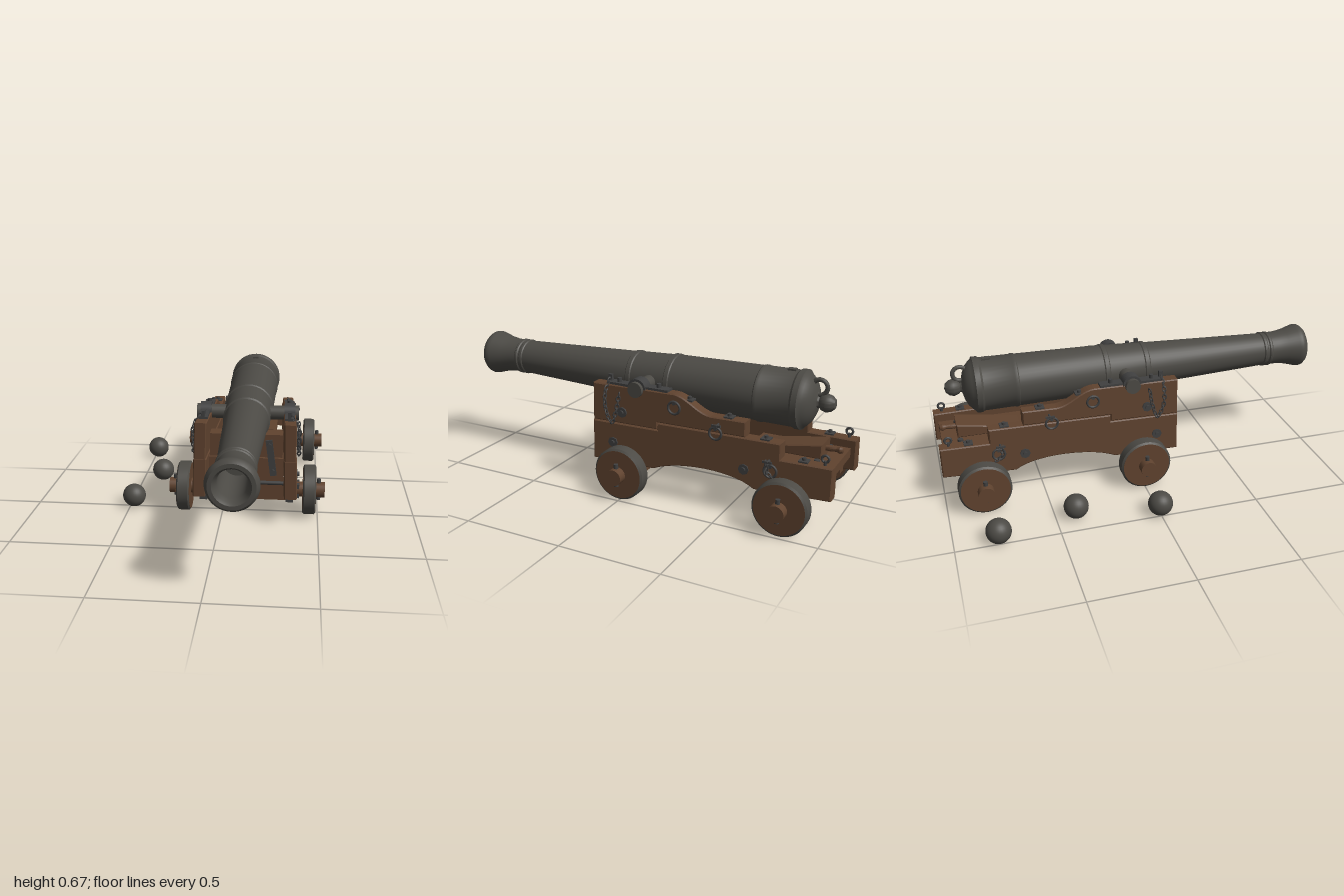
import * as THREE from 'three';
import { toCreasedNormals } from 'three/addons/utils/BufferGeometryUtils.js';

const material = (name, color) => Object.assign(new THREE.MeshStandardMaterial({ color }), { name });
const wood = material('oak', 0x60432f);
const iron = material('castIron', 0x4c4a45);
const dark = material('forgedIron', 0x404040);

function add(parent, name, geometry, mat, x = 0, y = 0, z = 0) {
  const mesh = new THREE.Mesh(geometry, mat);
  mesh.name = name;
  mesh.position.set(x, y, z);
  parent.add(mesh);
  return mesh;
}
const box = (x, y, z) => new THREE.BoxGeometry(x, y, z);
const rodX = (r, length, sides = 20) => new THREE.CylinderGeometry(r, r, length, sides).rotateZ(Math.PI / 2);
const rodY = (r, length, sides = 10) => new THREE.CylinderGeometry(r, r, length, sides);
const lathe = (points, sides) => toCreasedNormals(
  new THREE.LatheGeometry(points.map(([r, h]) => new THREE.Vector2(r, h)), sides), 0.6);

// Distance of a cheek's middle plane from the centre line: it leans in and narrows to the rear
const cheekX = (z, y) => 0.225 + 0.032 * z - 0.025 * (y - 0.15);
const outerX = (z, y) => cheekX(z, y) + 0.033;

// A side profile drawn in (z, y), extruded to a thickness across x
function profile(shape, thickness, bevel = 0.005) {
  const depth = thickness - 2 * bevel;
  return new THREE.ExtrudeGeometry(shape, {
    depth, bevelEnabled: bevel > 0, bevelSize: bevel, bevelThickness: bevel,
    bevelOffset: -bevel, bevelSegments: 1, curveSegments: 14,
  }).translate(0, 0, -depth / 2).rotateY(-Math.PI / 2);
}

function cheekPlank(shape, thickness, side) {
  const geometry = profile(shape, thickness);
  const p = geometry.attributes.position;
  for (let i = 0; i < p.count; i++) p.setX(i, p.getX(i) + side * cheekX(p.getZ(i), p.getY(i)));
  geometry.computeVertexNormals();
  return geometry;
}

function shapeFrom(points) {
  return new THREE.Shape(points.map(([z, y]) => new THREE.Vector2(z, y)));
}

function makeChain(points) {
  const chain = new THREE.Group();
  chain.name = 'chain';
  const curve = new THREE.CatmullRomCurve3(points.map((p) => new THREE.Vector3(...p)));
  const link = new THREE.TorusGeometry(0.009, 0.0032, 6, 12).scale(1.5, 1, 1);
  const count = Math.round(curve.getLength() / 0.021);
  for (let i = 0; i <= count; i++) {
    const mesh = add(chain, 'chainLink', link, dark);
    mesh.position.copy(curve.getPointAt(i / count));
    mesh.quaternion.setFromUnitVectors(new THREE.Vector3(1, 0, 0), curve.getTangentAt(i / count));
    mesh.rotateX((i % 2) * Math.PI / 2 + 0.4);
  }
  return chain;
}

function makeBarrel() {
  const barrel = new THREE.Group();
  barrel.name = 'barrel';
  // Cascabel knob, breech, reinforce rings, chase, muzzle swell and bore
  const outline = [
    [0, -0.935], [0.022, -0.93], [0.038, -0.912], [0.043, -0.89], [0.036, -0.868], [0.026, -0.858],
    [0.03, -0.85], [0.07, -0.84], [0.1, -0.825], [0.122, -0.805], [0.13, -0.795], [0.141, -0.788],
    [0.141, -0.762], [0.134, -0.752], [0.133, -0.6], [0.136, -0.595], [0.136, -0.58], [0.132, -0.575],
    [0.125, -0.14], [0.129, -0.135], [0.129, -0.115], [0.123, -0.11], [0.115, 0.075], [0.119, 0.08],
    [0.119, 0.1], [0.112, 0.106], [0.087, 0.755], [0.092, 0.76], [0.092, 0.772], [0.087, 0.778],
    [0.087, 0.785], [0.092, 0.79], [0.092, 0.8], [0.087, 0.806], [0.088, 0.85], [0.096, 0.9],
    [0.112, 0.955], [0.115, 0.97], [0.112, 0.985], [0.1, 1], [0.082, 1], [0.072, 0.985], [0.065, 0.95],
    [0.065, 0.7], [0, 0.7],
  ];
  add(barrel, 'gunTube', lathe(outline, 40).rotateX(Math.PI / 2), iron);
  add(barrel, 'trunnions', rodX(0.036, 0.47, 24), iron, 0, 0.005, -0.035);
  add(barrel, 'breechingLoop', new THREE.TorusGeometry(0.036, 0.011, 8, 20).rotateY(Math.PI / 2), iron, 0, 0.07, -0.853);
  add(barrel, 'ventPatch', box(0.03, 0.012, 0.04), iron, 0, 0.135, -0.72);
  barrel.position.y = 0.53;
  return barrel;
}

// Wheels, linchpins and beam for one axle
function makeAxle(z) {
  const axle = new THREE.Group();
  axle.name = 'axle';
  add(axle, 'axleBeam', box(0.47, 0.09, 0.1), wood);
  add(axle, 'axleArms', rodX(0.04, 0.814, 24), wood);
  const tyre = lathe([[0.12, -0.034], [0.13, -0.026], [0.13, 0.026], [0.12, 0.034]], 40).rotateZ(Math.PI / 2);
  for (const s of [-1, 1]) {
    add(axle, 'wheel', rodX(0.1205, 0.068, 40), wood, s * 0.327);
    add(axle, 'wheelTyre', tyre, iron, s * 0.327);
    add(axle, 'linchpin', rodY(0.011, 0.115), dark, s * 0.376, 0.003);
    add(axle, 'axleStrap', box(0.04, 0.07, 0.11), dark, s * 0.225, -0.02);
    add(axle, 'axleCollar', box(0.025, 0.075, 0.075), dark, s * 0.262);
  }
  axle.position.set(0, 0.132, z);
  return axle;
}

function makeCheek(s) {
  const cheek = new THREE.Group();
  cheek.name = s > 0 ? 'leftCheek' : 'rightCheek';
  const lower = shapeFrom([[0.2, 0.15], [0.2, 0.35], [-0.15, 0.35], [-0.15, 0.385], [-0.76, 0.385],
    [-0.76, 0.31], [-1, 0.31], [-1, 0.155], [-0.64, 0.145]]);
  lower.bezierCurveTo(-0.54, 0.215, -0.26, 0.215, -0.13, 0.15);
  const upper = shapeFrom([[0.2, 0.352], [0.2, 0.54], [-0.23, 0.54]]);
  upper.bezierCurveTo(-0.3, 0.535, -0.35, 0.465, -0.42, 0.46);
  for (const [z, y] of [[-0.59, 0.46], [-0.59, 0.387], [-0.148, 0.387], [-0.148, 0.352]]) upper.lineTo(z, y);
  add(cheek, 'lowerPlank', cheekPlank(lower, 0.066, s), wood);
  add(cheek, 'upperPlank', cheekPlank(upper, 0.061, s), wood);

  // Cap square arched over the trunnion, with bolted flanges
  const cap = new THREE.Shape();
  cap.moveTo(0.048, 0);
  cap.absarc(0, 0, 0.048, 0, Math.PI, false);
  cap.lineTo(-0.036, 0);
  cap.absarc(0, 0, 0.036, Math.PI, 0, true);
  const topX = s * cheekX(0, 0.54);
  add(cheek, 'capSquare', profile(cap, 0.056, 0), dark, topX, 0.537, -0.035);
  for (const z of [0.07, -0.14]) {
    add(cheek, 'capFlange', box(0.05, 0.012, 0.115), dark, s * cheekX(z, 0.54), 0.545, z);
    add(cheek, 'capBolt', rodY(0.011, 0.03), dark, s * cheekX(z, 0.54), 0.556, z);
  }
  add(cheek, 'capKey', box(0.016, 0.045, 0.02), dark, topX, 0.56, 0.12);
  add(cheek, 'trunnionBoss', rodX(0.038, 0.02, 24), iron, s * 0.252, 0.535, -0.035);

  // Washers and bolt heads along the outside
  for (const [z, y] of [[0.09, 0.25], [-0.59, 0.235], [0.04, 0.41]]) {
    add(cheek, 'rosette', rodX(0.026, 0.01, 8), dark, s * outerX(z, y), y, z);
    add(cheek, 'boltHead', rodX(0.012, 0.028, 8), dark, s * outerX(z, y), y, z);
  }
  // Eyebolts with hanging rings
  for (const [z, y] of [[-0.45, 0.41], [-0.72, 0.275], [-0.24, 0.5]]) {
    add(cheek, 'eyebolt', rodX(0.009, 0.03, 8), dark, s * outerX(z, y), y, z);
    add(cheek, 'hangingRing', new THREE.TorusGeometry(0.03, 0.006, 8, 20).rotateY(Math.PI / 2), dark,
      s * (outerX(z, y) + 0.01), y - 0.022, z);
  }
  // Bolts standing on the stepped top edges
  for (const [z, y] of [[-0.3, 0.512], [-0.5, 0.46], [-0.68, 0.385], [-0.86, 0.31]]) {
    add(cheek, 'topWasher', box(0.044, 0.008, 0.044), dark, s * cheekX(z, y), y + 0.003, z);
    add(cheek, 'topBolt', rodY(0.01, 0.026), dark, s * cheekX(z, y), y + 0.006, z);
  }
  add(cheek, 'rearEyeStem', rodY(0.007, 0.03), dark, s * cheekX(-0.955, 0.31), 0.315, -0.955);
  add(cheek, 'rearEye', new THREE.TorusGeometry(0.016, 0.006, 8, 16).rotateY(Math.PI / 2), dark,
    s * cheekX(-0.955, 0.31), 0.34, -0.955);

  // Chains for the cap key and the small pins
  const at = (z, y, out = 0.012) => [s * (outerX(z, y) + out), y, z];
  cheek.add(makeChain([at(0.12, 0.555, -0.02), at(0.125, 0.5), at(0.12, 0.41), at(0.09, 0.355), at(0.065, 0.42), at(0.05, 0.5)]));
  cheek.add(makeChain([at(-0.7, 0.29), at(-0.71, 0.24), at(-0.73, 0.225)]));
  for (const [z, y] of [[-0.46, 0.43], [-0.71, 0.3]]) {
    add(cheek, 'pin', rodX(0.006, 0.04, 8), dark, s * (outerX(z, y) + 0.012), y, z);
    add(cheek, 'pinCrossbar', box(0.008, 0.01, 0.045), dark, s * (outerX(z, y) + 0.025), y, z);
  }
  return cheek;
}

function makeCrossMembers() {
  const parts = new THREE.Group();
  parts.name = 'crossMembers';
  // Transom boards with their slanting straps
  add(parts, 'upperTransom', box(0.37, 0.12, 0.08), wood, 0, 0.395, 0.055);
  add(parts, 'lowerTransom', box(0.38, 0.122, 0.095), wood, 0, 0.271, 0.055);
  for (const s of [-1, 1]) {
    const strap = add(parts, 'transomStrap', box(0.034, 0.19, 0.012), dark, s * 0.128, 0.335, 0.104);
    strap.rotation.z = -s * -0.14;
    for (const d of [-0.07, 0.07]) {
      add(strap, 'strapBolt', rodY(0.01, 0.018).rotateX(Math.PI / 2), dark, 0, d, 0.006);
    }
  }
  for (const [z, y] of [[0.09, 0.195], [-0.59, 0.235]]) {
    add(parts, 'tieRod', rodX(0.011, 0.43, 12), dark, 0, y, z);
  }
  // Stool bed, bearers and quoin
  add(parts, 'stoolBed', box(0.27, 0.045, 0.44), wood, 0, 0.255, -0.76);
  for (const s of [-1, 1]) {
    add(parts, 'bedBearer', box(0.05, 0.06, 0.42), wood, s * 0.075, 0.205, -0.75);
    add(parts, 'bedBolt', rodY(0.014, 0.02), dark, s * 0.1, 0.28, -0.89);
  }
  add(parts, 'rearTransom', box(0.33, 0.06, 0.06), wood, 0, 0.225, -0.92);
  const quoin = shapeFrom([[-0.9, 0.277], [-0.9, 0.348], [-0.58, 0.295], [-0.58, 0.277]]);
  add(parts, 'quoin', profile(quoin, 0.13), wood);
  const handle = lathe([[0, -0.985], [0.013, -0.98], [0.018, -0.967], [0.011, -0.95], [0.015, -0.925], [0.012, -0.89]], 14);
  add(parts, 'quoinHandle', handle.rotateX(Math.PI / 2), wood, 0, 0.315, 0);
  return parts;
}

export function createModel() {
  const model = new THREE.Group();
  model.name = 'navalCannon';
  const gun = new THREE.Group();
  gun.name = 'gunAndCarriage';
  gun.position.x = 0.127;
  gun.add(makeBarrel(), makeCheek(1), makeCheek(-1), makeCrossMembers(), makeAxle(0.005), makeAxle(-0.81));
  model.add(gun);
  // Shot lying beside the carriage
  const ball = new THREE.SphereGeometry(0.061, 28, 18);
  for (const [x, z] of [[-0.478, 0], [-0.385, -0.4], [-0.478, -0.79]]) add(model, 'cannonball', ball, iron, x, 0.062, z);
  return model;
}
